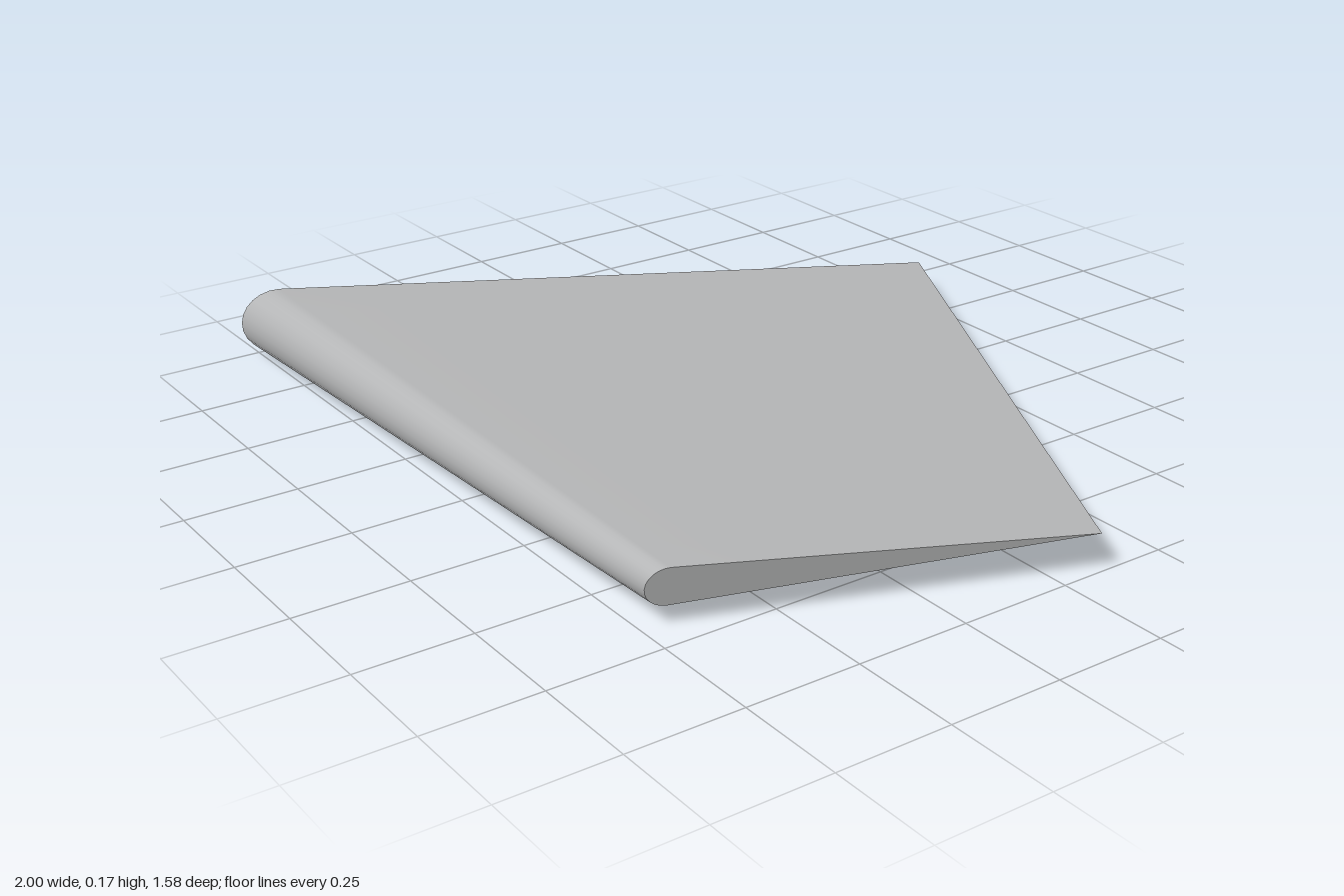
import * as THREE from 'three';

const MID = 0.085, SPAN = 10, CHORD = 5, NOSE = 12;

// Each end section: trailing edge (x, z), centre of the round nose, nose depth, half thickness
const root = { x: -0.38, z: -0.79, noseZ: 0.706, depth: 0.08, half: 0.084 };
const tip = { x: 1.0, z: -0.09, noseZ: 0.7, depth: 0.042, half: 0.043 };
const SWEEP = 0.393, CANT = 0.2;

// Teardrop section: trailing edge, along the top, round the nose, back along the bottom
function section(s) {
  const zy = [];
  for (let i = 0; i < CHORD; i++) zy.push([i / CHORD, 1]);
  const points = zy.map(([t]) => [THREE.MathUtils.lerp(s.z, s.noseZ, t), s.half * t]);
  const lower = points.map(([z, h]) => [z, -h]).reverse();
  for (let i = 0; i <= NOSE; i++) {
    const a = Math.PI * (0.5 - i / NOSE);
    points.push([s.noseZ + s.depth * Math.cos(a), s.half * Math.sin(a)]);
  }
  return points.concat(lower).map(([z, h]) =>
    new THREE.Vector3(s.x - SWEEP * (z - s.z) + CANT * h, MID + h, z));
}

function buildGeometry(points, index) {
  const g = new THREE.BufferGeometry().setFromPoints(points);
  g.setIndex(index);
  g.computeVertexNormals();
  return g;
}

// Skin stretched between the two end sections
function skinGeometry(a, b) {
  const points = [], index = [], n = a.length;
  for (let j = 0; j <= SPAN; j++) {
    a.forEach((p, i) => points.push(p.clone().lerp(b[i], j / SPAN)));
  }
  for (let j = 0; j < SPAN; j++) {
    for (let i = 0; i < n - 1; i++) {
      const k = j * n + i;
      index.push(k, k + 1, k + n, k + 1, k + n + 1, k + n);
    }
  }
  return buildGeometry(points, index);
}

// Flat end closing a section, fanned from its trailing edge
function capGeometry(points, flip) {
  const index = [];
  for (let i = 1; i < points.length - 2; i++) {
    index.push(0, flip ? i + 1 : i, flip ? i : i + 1);
  }
  return buildGeometry(points, index);
}

export function createModel() {
  const group = new THREE.Group();
  group.name = 'wing';
  const grey = new THREE.MeshStandardMaterial({ color: 0xb4b5b6 });
  grey.name = 'light grey';

  const rootSection = section(root), tipSection = section(tip);
  const add = (name, geometry) => {
    const mesh = new THREE.Mesh(geometry, grey);
    mesh.name = name;
    group.add(mesh);
  };
  add('wingSkin', skinGeometry(rootSection, tipSection));
  add('rootEnd', capGeometry(rootSection, true));
  add('tipEnd', capGeometry(tipSection, false));
  return group;
}
